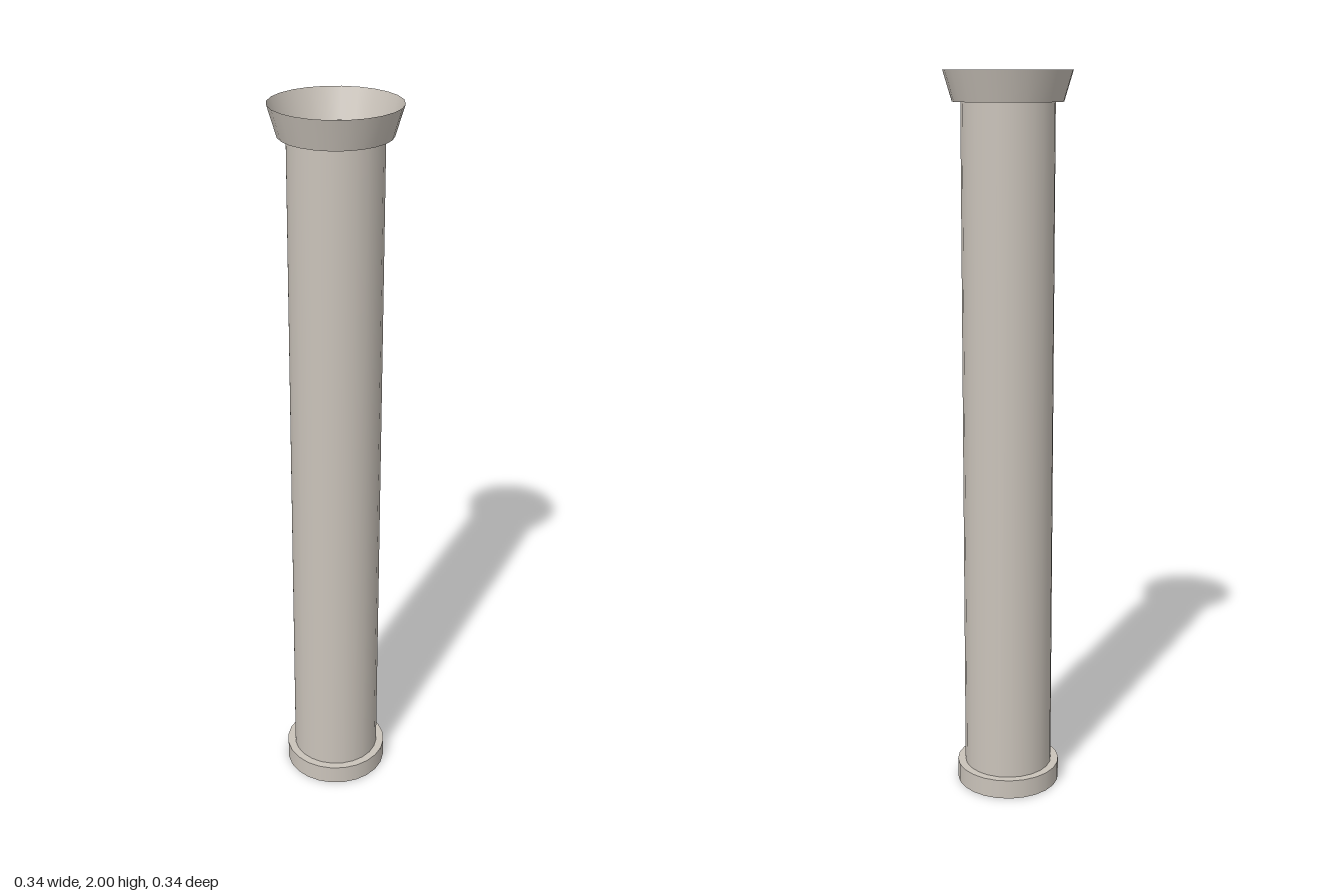
import * as THREE from 'three';

const SIDES = 24;
const BASE_TOP = 0.055;
const SHAFT_TOP = 1.92;

export function createModel() {
  const model = new THREE.Group();
  model.name = 'column';
  const stone = new THREE.MeshStandardMaterial({ color: 0xcac3ba, side: THREE.DoubleSide });
  stone.name = 'pale stone';

  const add = (name, geometry, y) => {
    const mesh = new THREE.Mesh(geometry, stone);
    mesh.name = name;
    mesh.position.y = y;
    model.add(mesh);
  };

  // Open round wall between two heights
  const wall = (name, rTop, rBottom, y0, y1) =>
    add(name, new THREE.CylinderGeometry(rTop, rBottom, y1 - y0, SIDES, 1, true), (y0 + y1) / 2);

  // Flat horizontal disc
  const disc = (name, radius, y) =>
    add(name, new THREE.CircleGeometry(radius, SIDES).rotateX(-Math.PI / 2), y);

  // Base: a band closed above and hollow below
  wall('baseBand', 0.146, 0.146, 0, BASE_TOP);
  disc('baseTop', 0.146, BASE_TOP);

  // Shaft
  wall('shaft', 0.124, 0.124, BASE_TOP, SHAFT_TOP);

  // Capital: a flared cup, open at the top
  wall('capitalFlare', 0.17, 0.146, SHAFT_TOP, 2);
  disc('capitalFloor', 0.146, SHAFT_TOP);

  return model;
}
